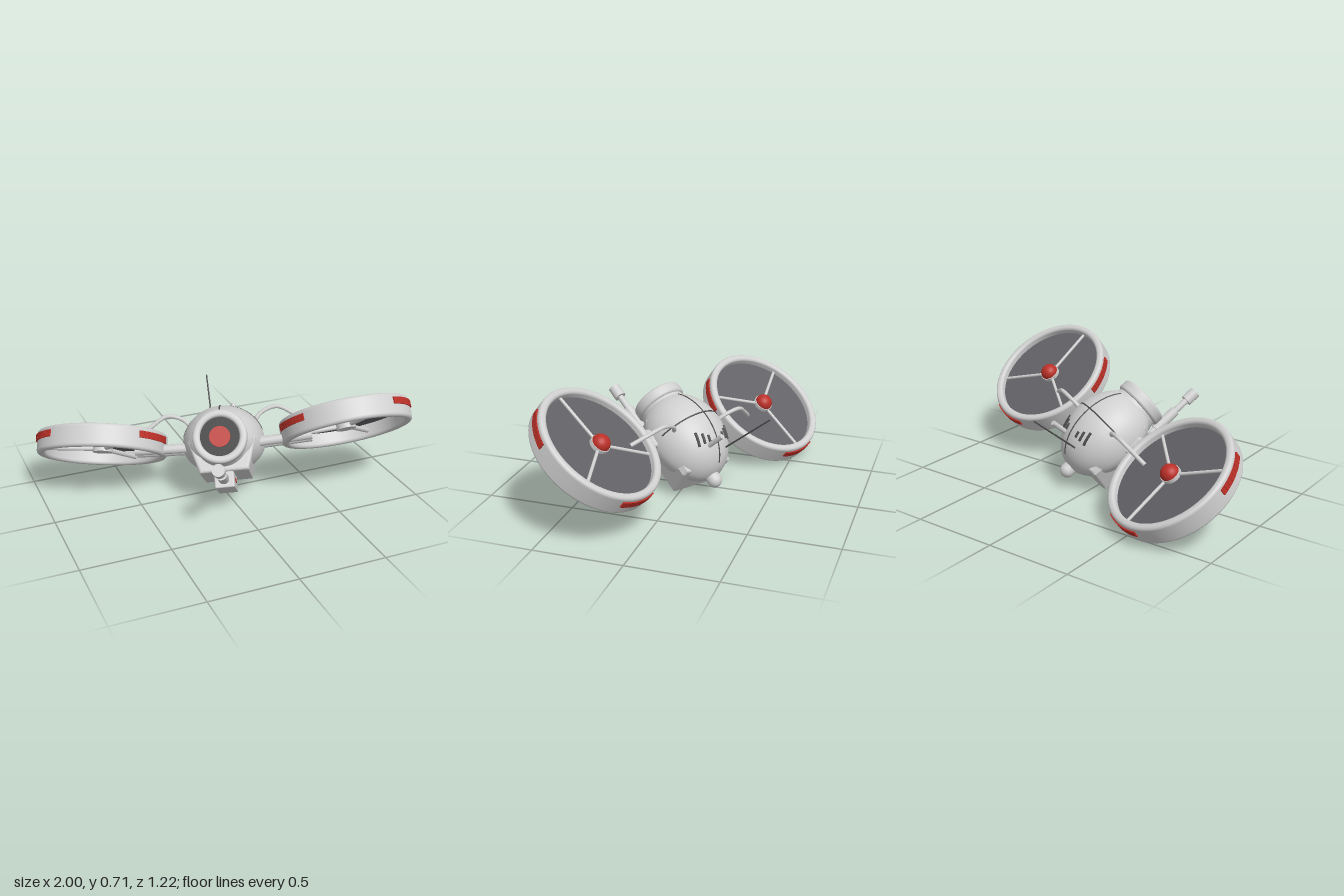
import * as THREE from 'three';
import { RoundedBoxGeometry } from 'three/addons/geometries/RoundedBoxGeometry.js';

const paint = (name, color, side = THREE.FrontSide) => {
  const m = new THREE.MeshStandardMaterial({ color, side });
  m.name = name;
  return m;
};
const V = (x, y, z) => new THREE.Vector3(x, y, z);
const rad = THREE.MathUtils.degToRad;

export function createModel() {
  const shell = paint('shell grey', 0xcfcfcf);
  const red = paint('signal red', 0xbb3028);
  const disc = paint('fan grey', 0x626266);
  const dark = paint('lens black', 0x2a2a2c);
  const seam = paint('seam grey', 0x4c4c4e);

  const root = new THREE.Group();
  root.name = 'drone';
  const body = new THREE.Group();
  body.name = 'airframe';
  root.add(body);

  const add = (parent, name, geo, mat, x = 0, y = 0, z = 0) => {
    const m = new THREE.Mesh(geo, mat);
    m.name = name;
    m.position.set(x, y, z);
    parent.add(m);
    return m;
  };
  // Straight round bar between two points
  const rod = (parent, name, a, b, r, mat, r2 = r) => {
    const d = b.clone().sub(a);
    const m = add(parent, name, new THREE.CylinderGeometry(r2, r, d.length(), 20), mat);
    m.position.copy(a).addScaledVector(d, 0.5);
    m.quaternion.setFromUnitVectors(V(0, 1, 0), d.normalize());
    return m;
  };
  const tube = (parent, name, pts, r, mat) =>
    add(parent, name, new THREE.TubeGeometry(new THREE.CatmullRomCurve3(pts), 40, r, 10), mat);
  // Closed rounded-rectangle section for a lathe
  const ringSection = (r0, r1, y0, y1, c) => {
    const pts = [];
    [[r1 - c, y0 + c, -90], [r1 - c, y1 - c, 0], [r0 + c, y1 - c, 90], [r0 + c, y0 + c, 180]].forEach(([x, y, a]) => {
      for (let i = 0; i <= 5; i++) {
        const t = rad(a + i * 18);
        pts.push(new THREE.Vector2(x + c * Math.cos(t), y + c * Math.sin(t)));
      }
    });
    pts.push(pts[0].clone());
    return pts;
  };

  // Egg-shaped pod, flatter below
  const C = V(0, -0.053, -0.05), RX = 0.235, RY = 0.22, RZ = 0.28;
  const pod = new THREE.SphereGeometry(1, 56, 40);
  const p = pod.attributes.position;
  for (let i = 0; i < p.count; i++) {
    const y = p.getY(i);
    p.setXYZ(i, p.getX(i) * RX, y * (y < 0 ? RY * 0.75 : RY), p.getZ(i) * RZ);
  }
  pod.computeVertexNormals();
  add(body, 'pod', pod, shell, C.x, C.y, C.z);
  const onPod = (x, z, lift = 0) =>
    V(x, C.y + lift + RY * Math.sqrt(Math.max(0, 1 - (x / RX) ** 2 - ((z - C.z) / RZ) ** 2)), z);

  // Panel seams and vents on the pod
  const along = (n, f) => Array.from({ length: n }, (_, i) => f(i / (n - 1)));
  tube(body, 'longSeam', along(17, t => onPod(0, -0.3 + 0.46 * t)), 0.004, seam);
  tube(body, 'crossSeam', along(17, t => onPod(0.225 * Math.sin((t - 0.5) * Math.PI), -0.03)), 0.004, seam);
  for (const s of [1, -1]) for (let i = 0; i < 3; i++) {
    const x = s * (0.055 + 0.032 * i);
    tube(body, 'vent', along(5, t => onPod(x, -0.2 + (0.035 + 0.02 * i) * t)), 0.008, seam);
  }

  // Lower hull cradle, a U section run front to back
  const u = new THREE.Shape();
  [[-0.125, -0.22], [0.125, -0.22], [0.175, -0.06], [0.17, -0.04], [0.15, -0.04], [0.12, -0.12],
    [-0.12, -0.12], [-0.15, -0.04], [-0.17, -0.04], [-0.175, -0.06]]
    .forEach(([x, y], i) => (i ? u.lineTo(x, y) : u.moveTo(x, y)));
  u.closePath();
  add(body, 'hullCradle', new THREE.ExtrudeGeometry(u, {
    depth: 0.37, bevelEnabled: true, bevelSize: 0.015, bevelThickness: 0.015, bevelSegments: 4,
  }), shell, 0, 0, -0.255);

  // Tail knob
  const knob = add(body, 'tailKnob', new THREE.CapsuleGeometry(0.042, 0.05, 8, 24), shell, 0, -0.055, -0.325);
  knob.rotation.x = Math.PI / 2;

  // Eye: neck, rim, dark lens and red iris
  const eye = new THREE.Group();
  eye.name = 'eye';
  eye.position.set(0, -0.058, 0);
  eye.rotation.x = Math.PI / 2;
  body.add(eye);
  add(eye, 'eyeNeck', new THREE.CylinderGeometry(0.132, 0.15, 0.08, 48), shell, 0, 0.17, 0);
  add(eye, 'eyeRim', new THREE.LatheGeometry(ringSection(0.108, 0.15, 0.19, 0.258, 0.016), 56), shell);
  add(eye, 'eyeLens', new THREE.CylinderGeometry(0.115, 0.115, 0.02, 48), dark, 0, 0.23, 0);
  add(eye, 'eyeIris', new THREE.CylinderGeometry(0.058, 0.058, 0.008, 40), red, 0, 0.242, 0);

  // Gun slung under the hull
  add(body, 'gunBox', new RoundedBoxGeometry(0.11, 0.09, 0.245, 3, 0.008), shell, 0, -0.285, 0.045);
  for (const s of [1, -1]) add(body, 'gunMark', new THREE.BoxGeometry(0.006, 0.02, 0.08), red, s * 0.055, -0.28, 0.06);
  [[0.15, 0.2, 0.022], [0.2, 0.36, 0.03], [0.36, 0.46, 0.019], [0.45, 0.525, 0.034]].forEach(([a, b, r]) =>
    rod(body, 'gunBarrel', V(0, -0.285, a), V(0, -0.285, b), r, shell));

  // Aerials
  rod(body, 'aerial', V(-0.07, 0.04, -0.23), V(-0.093, 0.432, -0.321), 0.005, seam, 0.004);
  rod(body, 'stub', V(0.06, 0.05, -0.2), V(0.06, 0.22, -0.235), 0.014, shell);

  // Arms, hoses and ducted fans on both sides
  for (const s of [1, -1]) {
    const side = s > 0 ? 'left' : 'right';
    add(body, side + 'ArmPlate', new RoundedBoxGeometry(0.24, 0.04, 0.11, 3, 0.012), shell, s * 0.25, -0.06, 0.0);
    for (const z of [-0.03, 0.045])
      rod(body, side + 'ArmRod', V(s * 0.15, -0.075, z), V(s * 0.5, -0.06, z), 0.026, shell);
    tube(body, side + 'Hose', [V(s * 0.17, 0.05, -0.05), V(s * 0.23, 0.115, -0.05), V(s * 0.32, 0.14, -0.05),
      V(s * 0.41, 0.09, -0.05), V(s * 0.5, 0.03, -0.05)], 0.012, shell);

    const fan = new THREE.Group();
    fan.name = side + 'Fan';
    fan.position.set(s * 0.693, 0, 0);
    fan.rotation.z = s * 0.1;
    body.add(fan);
    add(fan, 'duct', new THREE.LatheGeometry(ringSection(0.326, 0.37, -0.065, 0.065, 0.018), 72), shell);
    add(fan, 'fanDisc', new THREE.CylinderGeometry(0.335, 0.335, 0.008, 64), disc, 0, 0.02, 0);
    add(fan, 'hub', new THREE.CylinderGeometry(0.056, 0.056, 0.085, 32), shell, 0, 0.002, 0);
    const cap = add(fan, 'hubCap', new THREE.SphereGeometry(0.052, 32, 12, 0, Math.PI * 2, 0, Math.PI / 2), red, 0, 0.044, 0);
    cap.scale.y = 0.95;
    for (let k = 0; k < 3; k++) {
      const reach = (deg, y) => V(Math.cos(rad(deg)) * 0.335, y, Math.sin(rad(deg)) * 0.335);
      rod(fan, 'upperSpoke', V(0, 0.03, 0), reach((s > 0 ? 80 : 25) + k * 120, 0.03), 0.009, shell);
      rod(fan, 'lowerSpoke', V(0, -0.02, 0), reach(55 + k * 120, -0.02), 0.014, shell);
      // Ribbed red marker on the duct wall
      for (let i = -4; i <= 4; i++) {
        const a = rad(27 + k * 120 + i * 4.2);
        const m = add(fan, 'marker', new THREE.BoxGeometry(0.016, 0.038, 0.026), red,
          Math.cos(a) * 0.369, 0.02, Math.sin(a) * 0.369);
        m.rotation.y = -a;
      }
    }
  }

  // Banked, climbing attitude
  const X = V(0.908, 0.117, 0.403).normalize();
  const Z = X.clone().cross(V(0.161, 0.797, -0.585)).normalize();
  const Y = Z.clone().cross(X);
  body.quaternion.setFromRotationMatrix(new THREE.Matrix4().makeBasis(X, Y, Z));
  body.position.set(-0.003, 0.358, 0.006);
  return root;
}
